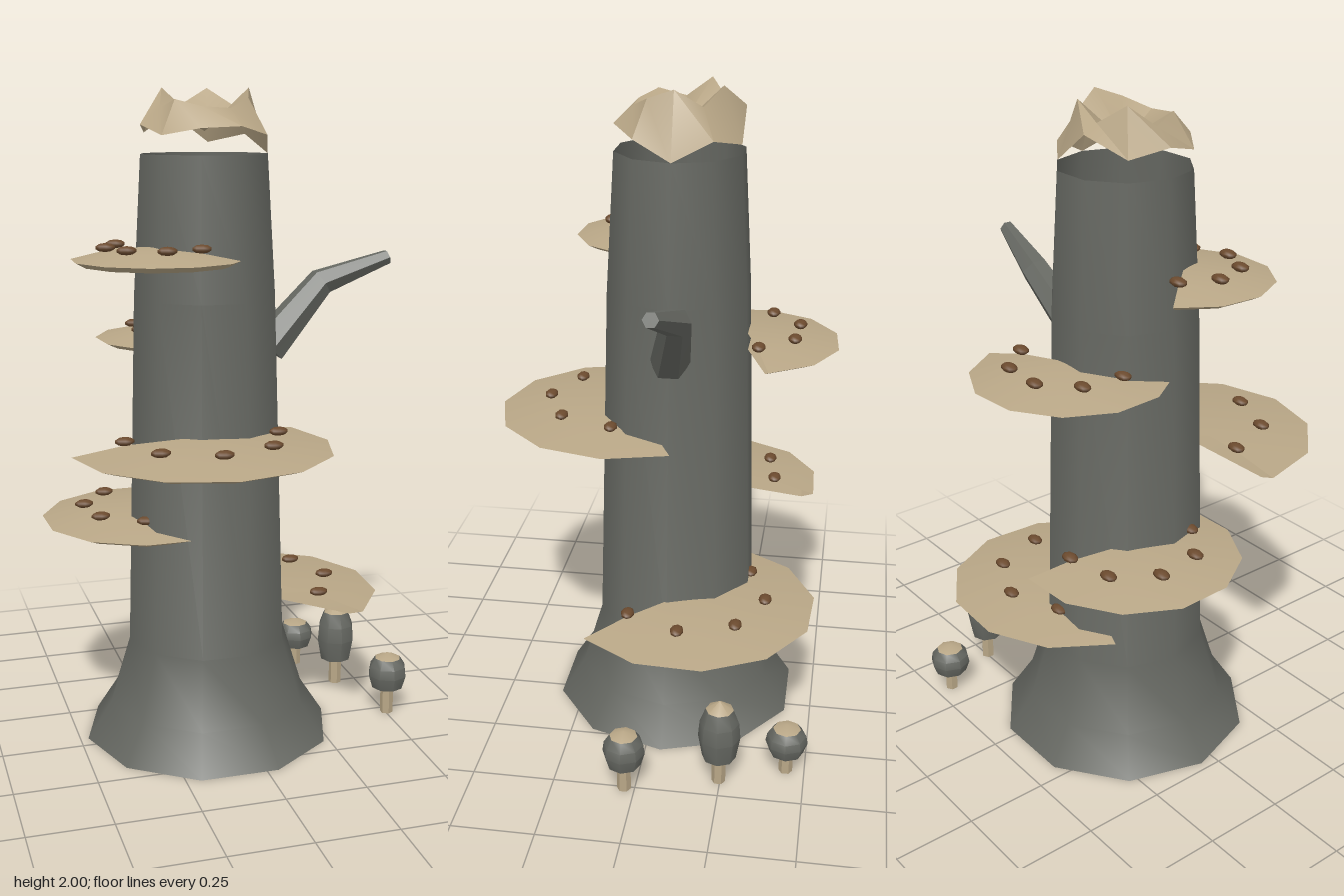
import * as THREE from 'three';
import { toCreasedNormals } from 'three/addons/utils/BufferGeometryUtils.js';

const bark = new THREE.MeshStandardMaterial({ color: 0x666862, side: THREE.DoubleSide });
bark.name = 'grey bark';
const wood = new THREE.MeshStandardMaterial({ color: 0xb8a686, side: THREE.DoubleSide });
wood.name = 'pale wood';
const brown = new THREE.MeshStandardMaterial({ color: 0x6b4a2e });
brown.name = 'brown spots';

const rad = THREE.MathUtils.degToRad;
const AXIS_X = -0.085, AXIS_Z = -0.047;

function part(name, geometry, material, x = 0, y = 0, z = 0) {
  const mesh = new THREE.Mesh(geometry, material);
  mesh.name = name;
  mesh.position.set(x, y, z);
  return mesh;
}

function lathe(profile, sides, start = 0, length = Math.PI * 2, crease = 0.8) {
  const points = profile.map(([r, y]) => new THREE.Vector2(r, y));
  return toCreasedNormals(new THREE.LatheGeometry(points, sides, start, length), crease);
}

// Jagged broken rim: outer ring, raised inner ring and a sunken centre
function crownGeometry() {
  const outerY = [1.81, 1.865, 1.89, 1.885, 1.865, 1.894, 1.87, 1.93, 1.84, 1.865];
  const innerY = [2.0, 1.97, 1.94, 1.945, 1.965, 1.94, 2.0, 1.95, 2.0, 1.95];
  const n = outerY.length;
  const ring = (r, ys) => ys.map((y, k) => {
    const a = (k / n) * Math.PI * 2;
    return [r * Math.cos(a), y, r * Math.sin(a)];
  });
  const outer = ring(0.194, outerY), inner = ring(0.135, innerY), centre = [0, 1.875, 0];
  const pos = [];
  for (let k = 0; k < n; k++) {
    const j = (k + 1) % n;
    pos.push(...inner[k], ...inner[j], ...outer[k]);
    pos.push(...inner[j], ...outer[j], ...outer[k]);
    pos.push(...centre, ...inner[j], ...inner[k]);
  }
  const g = new THREE.BufferGeometry();
  g.setAttribute('position', new THREE.Float32BufferAttribute(pos, 3));
  return toCreasedNormals(g, 0.6);
}

// Bent, tapering six-sided branch
function branchGeometry() {
  const rings = [
    { c: [0.505, 1.49, -0.053], r: 0.023, tilt: 20 },
    { c: [0.3, 1.415, -0.09], r: 0.044, tilt: 35 },
    { c: [0.11, 1.225, -0.047], r: 0.06, tilt: 48 },
  ];
  const g = new THREE.CylinderGeometry(1, 1, 2, 6, 2);
  const p = g.attributes.position;
  for (let i = 0; i < p.count; i++) {
    const { c, r, tilt } = rings[Math.round(1 - p.getY(i))];
    const a = rad(tilt), u = p.getX(i) * r, v = p.getZ(i) * r;
    p.setXYZ(i, c[0] + u * Math.sin(a), c[1] - u * Math.cos(a), c[2] + v);
  }
  return toCreasedNormals(g, 0.4);
}

// Shelf fungus: a 210 degree fan with five spots along it
function shelf({ x, y, z, r, start }) {
  const group = new THREE.Group();
  group.name = 'shelfFungus';
  group.position.set(x, y, z);
  const t0 = rad(90 - start);
  const profile = [[0, -0.016], [0.88 * r, -0.016], [r, 0], [0.6 * r, 0.025], [0, 0.036]];
  group.add(part('shelfCap', lathe(profile, 7, t0, rad(210), 0.35), wood));
  for (let k = 0; k < 5; k++) {
    const t = t0 + rad(45 * k);
    const spot = part('shelfSpot', spotGeometry, brown,
      0.6 * r * Math.sin(t), 0.037, 0.6 * r * Math.cos(t));
    spot.scale.set(0.03, 0.013, 0.021);
    group.add(spot);
  }
  return group;
}
const spotGeometry = new THREE.SphereGeometry(1, 8, 5);

// Small mushroom: stem, grey cap and pale tip
function mushroom({ x, z, low, high }) {
  const group = new THREE.Group();
  group.name = 'mushroom';
  group.position.set(x, 0, z);
  const h = high - low, r = 0.064;
  const at = ([a, b]) => [a * r, low + b * h];
  const stemTop = low + 0.02;
  group.add(
    part('mushroomStem', toCreasedNormals(new THREE.CylinderGeometry(0.021, 0.021, stemTop, 6), 0.8),
      wood, 0, stemTop / 2, 0),
    part('mushroomCap', lathe([[0, 0], [0.8, 0], [1, 0.36], [0.93, 0.62], [0.66, 0.85]].map(at), 8), bark),
    part('mushroomTip', lathe([[0.66, 0.85], [0, 1]].map(at), 8), wood),
  );
  return group;
}

export function createModel() {
  const model = new THREE.Group();
  model.name = 'treeStump';

  // Hollow ten-sided trunk with a flared foot
  const trunk = [[0, 0], [0.39, 0], [0.315, 0.115], [0.251, 0.32], [0.22, 1.39], [0.195, 1.81]];
  model.add(part('trunk', lathe(trunk, 10, Math.PI / 2), bark, AXIS_X, 0, AXIS_Z));
  model.add(part('brokenCrown', crownGeometry(), wood, AXIS_X, 0, AXIS_Z));
  model.add(part('branch', branchGeometry(), bark));

  // Shelves climbing around the trunk
  [
    { x: 0.093, y: 0.417, z: -0.113, r: 0.392, start: 48 },
    { x: -0.252, y: 0.69, z: -0.153, r: 0.328, start: 283 },
    { x: -0.145, y: 0.964, z: 0.137, r: 0.39, start: 180 },
    { x: -0.09, y: 1.238, z: -0.245, r: 0.292, start: -19 },
    { x: -0.25, y: 1.513, z: 0.037, r: 0.255, start: 228 },
  ].forEach((s) => model.add(shelf(s)));

  // Mushrooms beside the foot
  [
    { x: 0.347, z: -0.443, low: 0.07, high: 0.167 },
    { x: 0.427, z: -0.245, low: 0.09, high: 0.287 },
    { x: 0.505, z: 0.032, low: 0.09, high: 0.207 },
  ].forEach((m) => model.add(mushroom(m)));

  return model;
}
